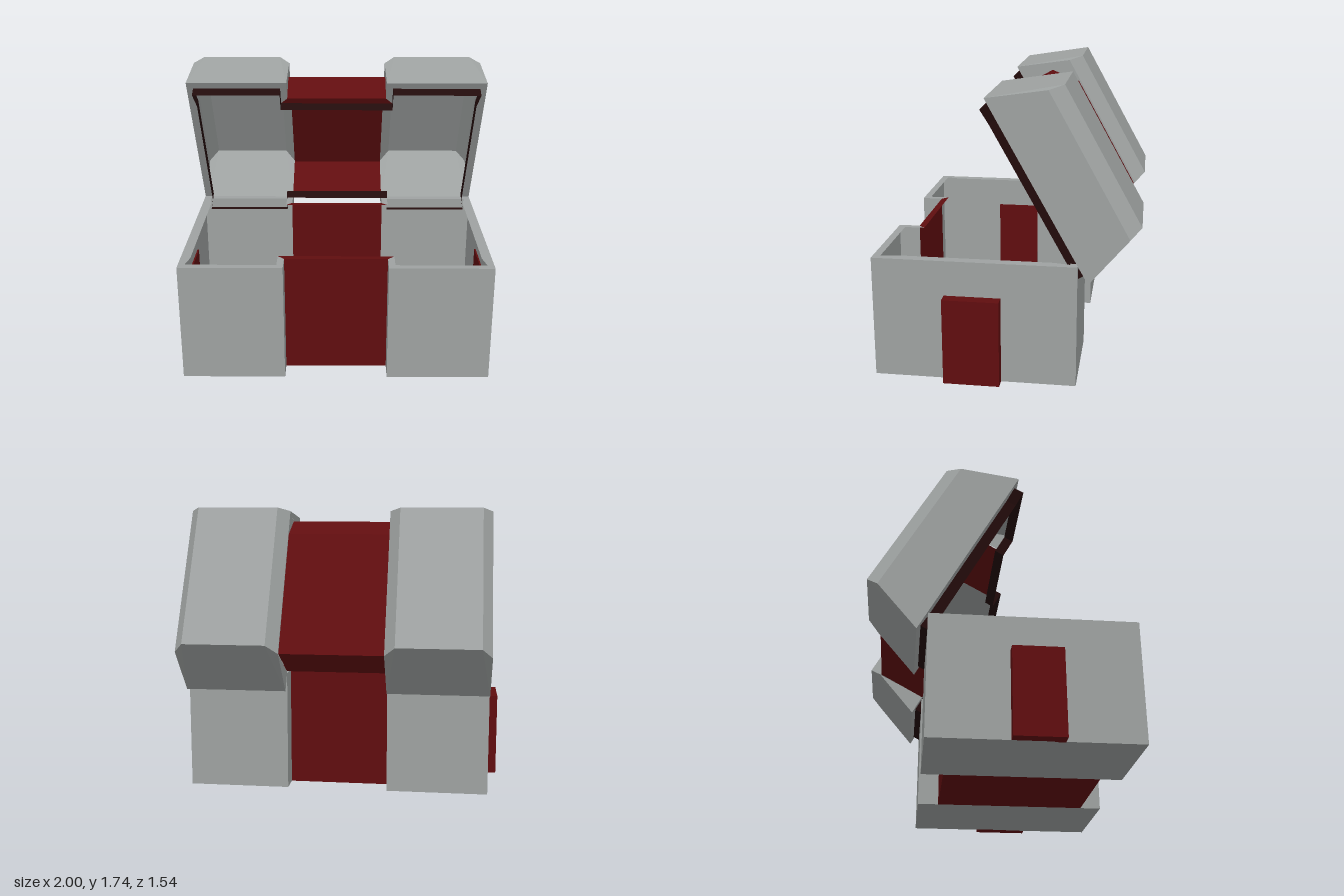
import * as THREE from 'three';

const mat = (name, color) => {
  const m = new THREE.MeshStandardMaterial({ color, side: THREE.DoubleSide });
  m.name = name;
  return m;
};

// flat-shaded sheet from convex polygons, each a list of [x, y, z]
function sheet(name, material, polygons) {
  const pos = [];
  for (const p of polygons)
    for (let i = 1; i < p.length - 1; i++) pos.push(...p[0], ...p[i], ...p[i + 1]);
  const g = new THREE.BufferGeometry();
  g.setAttribute('position', new THREE.Float32BufferAttribute(pos, 3));
  g.computeVertexNormals();
  const mesh = new THREE.Mesh(g, material);
  mesh.name = name;
  return mesh;
}

// quads joining two polylines of equal length
const band = (a, b) => a.slice(1).map((p, i) => [a[i], p, b[i + 1], b[i]]);

// half plan of the opening in [x, z], z measured from the back edge
const OUTER = [[0.31, 1.06], [0.31, 1.19], [0.93, 1.19], [0.93, 1.06],
  [0.93, 0.13], [0.93, 0], [0.31, 0], [0.31, 0.13]];
const INNER = [[0.35, 1.02], [0.35, 1.145], [0.89, 1.145], [0.87, 1.05],
  [0.87, 0.14], [0.89, 0.045], [0.35, 0.045], [0.35, 0.17]];
const at = (plan, y, s) => plan.map(([x, z]) => [s * x, y, z]);

// rim between the outer and inner plan, in side and centre pieces
function addRim(group, y, grey, red) {
  for (const s of [1, -1])
    group.add(sheet(s > 0 ? 'leftRim' : 'rightRim', grey, band(at(OUTER, y, s), at(INNER, y, s))));
  group.add(sheet('centreRim', red, [0, 7].map(i => [
    [-OUTER[i][0], y, OUTER[i][1]], [OUTER[i][0], y, OUTER[i][1]],
    [INNER[i][0], y, INNER[i][1]], [-INNER[i][0], y, INNER[i][1]]])));
}

function makeBase(grey, red) {
  const base = new THREE.Group();
  base.name = 'base';
  const H = 0.73, W = 0.31;
  for (const s of [1, -1]) {
    const floor = [[s * 0.31, 0, 0], [s * 0.93, 0, 0], [s * 0.93, 0, 1.19], [s * 0.31, 0, 1.19]];
    base.add(sheet(s > 0 ? 'leftBin' : 'rightBin', grey,
      [...band(at(OUTER, 0, s), at(OUTER, H, s)), floor]));
  }
  // recessed centre walls and floor
  const path = [[H, 1.06], [0, 1.06], [0, 0.13], [H, 0.13]];
  base.add(sheet('centreBin', red,
    band(path.map(([y, z]) => [-W, y, z]), path.map(([y, z]) => [W, y, z]))));
  addRim(base, H, grey, red);
  base.position.z = -0.42;
  return base;
}

function makeLid(grey, red, dark) {
  const lid = new THREE.Group();
  lid.name = 'lid';
  const T = 0.413, S = 0.33;
  for (const s of [1, -1]) {
    const v = (x, y, z) => [s * x, y, z];
    // front and back outlines across the block, from inner to outer side
    const ends = [[1.19, 1.064, 1.044], [0, 0.126, 0.146]].map(([z0, z1, z2]) => ({
      in0: v(0.31, 0, z0), in1: v(0.31, S, z1), in2: v(0.375, T, z2),
      out2: v(0.87, T, z2), out1: v(0.93, S, z1), out0: v(0.93, 0, z0),
      notch: v(0.31, 0, z1),
    }));
    const [f, b] = ends;
    const polys = [
      [f.in1, f.in2, b.in2, b.in1],       // inner bevel
      [f.in2, f.out2, b.out2, b.in2],     // top
      [f.out2, f.out1, b.out1, b.out2],   // outer bevel
      [f.out1, f.out0, b.out0, b.out1],   // outer side
      [f.in1, v(0.31, 0.32, 0.912), v(0.31, 0.2, 1.06)], // step beside centre slope
      [f.in1, b.in1, v(0.31, 0.32, 0.13), v(0.31, 0.32, 0.912)],
    ];
    for (const e of ends) polys.push(
      [e.in0, e.out0, e.out2, e.in2],     // sloped end
      [e.in0, e.in1, e.in2], [e.out0, e.out1, e.out2],
      [e.in0, e.in1, e.notch]);           // inner side beyond the centre band
    lid.add(sheet(s > 0 ? 'leftLidBlock' : 'rightLidBlock', grey, polys));
  }
  // centre band with a sloped front
  const path = [[0, 0.13], [0.32, 0.13], [0.32, 0.912], [0.2, 1.06], [0, 1.06]];
  lid.add(sheet('lidCentreBand', red,
    band(path.map(([y, z]) => [-0.31, y, z]), path.map(([y, z]) => [0.31, y, z]))));
  addRim(lid, 0, grey, red);
  // dark lip hanging from the inner plan all the way round
  const loop = y => {
    const l = [...at(INNER, y, 1), ...at(INNER, y, -1).reverse()];
    return [...l, l[0]];
  };
  lid.add(sheet('lidLip', dark, band(loop(0), loop(-0.062))));
  // swung open about the back edge
  lid.rotation.x = -1.062;
  lid.position.set(0, 0.63, -0.48);
  return lid;
}

export function createModel() {
  const grey = mat('stone grey', 0x9ea2a1);
  const red = mat('deep red', 0x600d0f);
  const dark = mat('dark brown', 0x220b0b);
  const model = new THREE.Group();
  model.name = 'openChest';
  model.add(makeBase(grey, red), makeLid(grey, red, dark));

  // side plates, set through the walls
  for (const [s, depth] of [[1, 0.33], [-1, 0.29]]) {
    const plate = new THREE.Mesh(new THREE.BoxGeometry(0.08, 0.52, depth), red);
    plate.name = s > 0 ? 'leftSidePlate' : 'rightSidePlate';
    plate.position.set(s * 0.96, 0.26, 0.182);
    model.add(plate);
  }
  return model;
}
